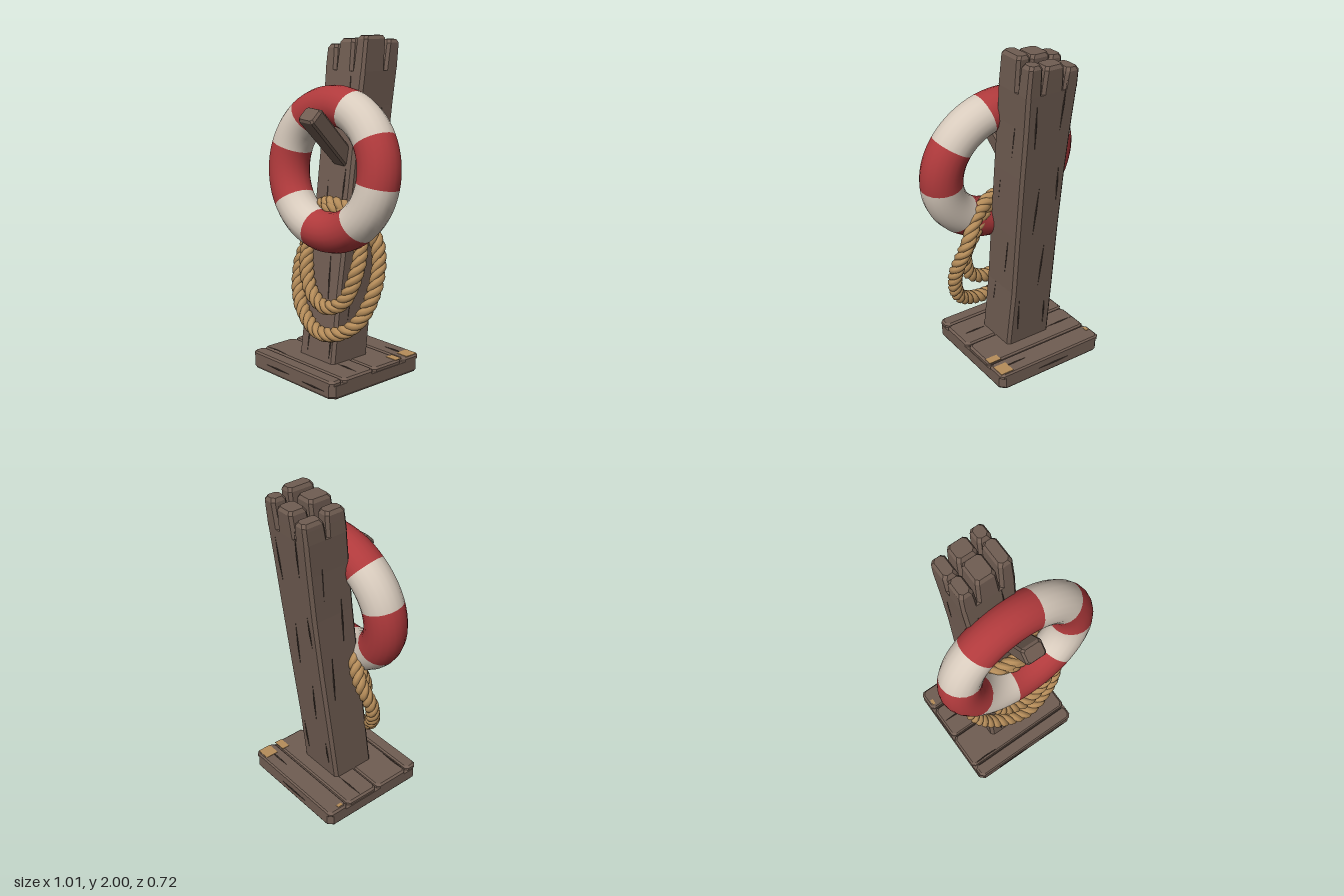
import * as THREE from 'three';

const paint = (name, color, extra = {}) => {
  const m = new THREE.MeshStandardMaterial({ color, ...extra });
  m.name = name;
  return m;
};

// Chamfered column lofted through sections [y, x0, x1, z0, z1, chamfer]
function loft(sections) {
  const rings = sections.map(([y, x0, x1, z0, z1, c]) => [
    [x0 + c, y, z1], [x1 - c, y, z1], [x1, y, z1 - c], [x1, y, z0 + c],
    [x1 - c, y, z0], [x0 + c, y, z0], [x0, y, z0 + c], [x0, y, z1 - c],
  ]);
  const out = [];
  const tri = (...p) => p.forEach((q) => out.push(...q));
  for (let r = 0; r < rings.length - 1; r++) {
    const a = rings[r], b = rings[r + 1];
    for (let i = 0; i < 8; i++) {
      const j = (i + 1) % 8;
      tri(a[i], a[j], b[j]);
      tri(a[i], b[j], b[i]);
    }
  }
  const low = rings[0], top = rings[rings.length - 1];
  for (let i = 1; i < 7; i++) {
    tri(top[0], top[i], top[i + 1]);
    tri(low[0], low[i + 1], low[i]);
  }
  const g = new THREE.BufferGeometry();
  g.setAttribute('position', new THREE.Float32BufferAttribute(out, 3));
  g.computeVertexNormals();
  return g;
}

// One strand of a laid rope, twisting around a closed path
function strand(path, phase, turns) {
  const n = 180, frames = path.computeFrenetFrames(n, true), pts = [];
  for (let i = 0; i < n; i++) {
    const a = phase + (i / n) * turns * Math.PI * 2;
    pts.push(path.getPointAt(i / n)
      .addScaledVector(frames.normals[i], Math.cos(a) * 0.021)
      .addScaledVector(frames.binormals[i], Math.sin(a) * 0.021));
  }
  return new THREE.TubeGeometry(new THREE.CatmullRomCurve3(pts, true), 240, 0.024, 7, true);
}

export function createModel() {
  const model = new THREE.Group();
  const wood = paint('wood', 0x705d52, { flatShading: true });
  const crackWood = paint('dark crack', 0x3c312b, { flatShading: true });
  const red = paint('red', 0xb03a3c);
  const cream = paint('cream', 0xd8cbbd);
  const ropeTan = paint('rope tan', 0xb68d5a);

  const add = (name, geo, mat, parent = model) => {
    const m = new THREE.Mesh(geo, mat);
    m.name = name;
    parent.add(m);
    return m;
  };

  // Base: slab with worn planks on top
  add('baseSlab', loft([
    [0, -0.44, 0.275, -0.345, 0.345, 0.03],
    [0.015, -0.45, 0.282, -0.353, 0.353, 0.03],
    [0.08, -0.45, 0.282, -0.353, 0.353, 0.03],
  ]), wood);
  [[-0.353, -0.215], [-0.205, 0.02], [0.028, 0.262], [0.27, 0.353]].forEach(([z0, z1], i) => {
    const x0 = -0.45 + (i % 2) * 0.006, x1 = 0.284 - (i % 2) * 0.006;
    add('basePlank', loft([
      [0.08, x0, x1, z0, z1, 0.018],
      [0.095, x0, x1, z0, z1, 0.018],
      [0.106, x0 + 0.012, x1 - 0.012, z0 + 0.008, z1 - 0.008, 0.018],
    ]), wood);
  });

  // Tan worn patches on the base
  [[0.232, -0.295, 0.085, 0.085], [0.232, -0.185, 0.08, 0.05], [-0.42, -0.257, 0.02, 0.035]]
    .forEach(([x, z, w, d]) => {
      add('wornPatch', new THREE.BoxGeometry(w, 0.004, d), ropeTan).position.set(x, 0.107, z);
    });

  // Leaning post
  const front = (y) => 0.165 - 0.125 * (y - 0.1);
  const back = (y) => -0.12 - 0.125 * (y - 0.1);
  const postAt = ([y, x0, x1]) => [y, x0, x1, back(y), front(y), 0.018];
  add('post', loft([
    [0.09, -0.23, 0.076], [0.5, -0.224, 0.072], [0.9, -0.216, 0.082],
    [1.3, -0.215, 0.09], [1.6, -0.222, 0.094], [1.8, -0.23, 0.1],
  ].map(postAt)), wood);

  // Split top: two rows of three stubs
  [[-0.23, -0.135, 1.945], [-0.135, 0.005, 1.98], [0.005, 0.1, 2.0]].forEach(([x0, x1, h], col) => {
    [0, 1].forEach((row) => {
      const top = h - row * 0.025;
      const at = (y, inset, split) => {
        const mid = -0.225 - 0.125 * (y - 1.95) - (col - 1) * 0.02;
        const l = x0 + (col ? split : inset), r = x1 - (col < 2 ? split : inset);
        return row
          ? [y, l, r, back(y) + inset, mid - split, 0.016]
          : [y, l, r, mid + split, front(y) - inset, 0.016];
      };
      add('postStub', loft([
        at(1.8, 0, 0.001), at(1.88, 0.001, 0.005), at(top - 0.02, 0.002, 0.009), at(top, 0.014, 0.02),
      ]), wood);
    });
  });

  // Cracks: slim dark slivers along the grain
  const sliver = (x, y, z, half, lean, tilt = 0) => {
    const m = add('woodCrack', new THREE.OctahedronGeometry(1), crackWood);
    m.scale.set(0.005, half, 0.005);
    m.position.set(x, y, z);
    m.rotation.set(lean, 0, tilt);
  };
  [[-0.15, 0.25, 0.13], [-0.02, 0.6, 0.16], [0.04, 0.22, 0.1], [-0.1, 1.0, 0.17],
    [-0.16, 1.55, 0.15], [0.01, 1.65, 0.16], [0.03, 1.15, 0.12]].forEach(([x, y, h], i) => {
    const tilt = (i % 2 ? 1 : -1) * 0.04;
    sliver(x, y, front(y), h, -0.1244, tilt);
    sliver(-0.13 - x, y + 0.06, back(y + 0.06), h, -0.1244, tilt);
  });
  [[0.05, 0.4, 0.18], [-0.05, 0.8, 0.2], [0.06, 1.2, 0.17], [-0.04, 1.55, 0.18]].forEach(([dz, y, h]) => {
    const z = (front(y) + back(y)) / 2 + dz;
    sliver(0.07 + 0.018 * (y - 0.4), y, z, h, -0.17);
    sliver(-0.219, y + 0.05, z - 0.02, h, -0.08);
  });
  [[-0.34, 0.106, 0.25, 0.09], [0.16, 0.106, 0.13, 0.08], [-0.33, 0.106, -0.1, 0.1],
    [0.15, 0.106, -0.28, 0.1], [-0.2, 0.05, 0.354, 0.12], [0.12, 0.04, 0.354, 0.1],
    [-0.1, 0.05, -0.354, 0.13]].forEach(([x, y, z, h]) => sliver(x, y, z, h, 0, Math.PI / 2));

  // Slanted peg
  const peg = new THREE.Group();
  peg.name = 'peg';
  peg.position.set(-0.005, 1.577, 0.262);
  peg.rotation.set(Math.PI / 4, 0, -0.06, 'ZXY');
  model.add(peg);
  add('pegBody', loft([
    [-0.46, -0.055, 0.055, -0.05, 0.05, 0.012],
    [-0.015, -0.065, 0.065, -0.052, 0.052, 0.012],
    [0, -0.054, 0.054, -0.042, 0.042, 0.012],
  ]), wood, peg);

  // Life ring: alternating red and cream arcs (degrees)
  const ring = new THREE.Group();
  ring.name = 'lifeRing';
  ring.position.set(0, 1.25, 0.0975);
  ring.rotation.x = -0.118;
  ring.scale.set(1, 0.95, 0.97);
  model.add(ring);
  const stops = [-7, 32, 72, 129, 164, 217, 257, 310, 353];
  for (let i = 0; i < 8; i++) {
    const arc = THREE.MathUtils.degToRad(stops[i + 1] - stops[i]);
    const isRed = i % 2 === 0;
    const part = add(isRed ? 'redBand' : 'creamBand',
      new THREE.TorusGeometry(0.38, 0.125, 20, 10, arc), isRed ? red : cream, ring);
    part.rotation.z = THREE.MathUtils.degToRad(stops[i]);
  }

  // Two hanging loops of three-strand rope
  const loops = {
    outerRope: [[0, 1.05, 0.09], [0.18, 0.99, 0.04], [0.275, 0.84, 0], [0.325, 0.6, 0.07], [0.24, 0.38, 0.15],
      [0.02, 0.295, 0.2], [-0.22, 0.4, 0.15], [-0.325, 0.62, 0.07], [-0.28, 0.84, 0], [-0.18, 0.99, 0.04]],
    innerRope: [[0, 1.03, 0.1], [0.13, 0.97, 0.06], [0.2, 0.85, 0.06], [0.225, 0.68, 0.12], [0.16, 0.51, 0.16],
      [0.02, 0.452, 0.175], [-0.12, 0.52, 0.16], [-0.205, 0.68, 0.12], [-0.22, 0.85, 0.06], [-0.14, 0.97, 0.06]],
  };
  for (const [name, pts] of Object.entries(loops)) {
    const rope = new THREE.Group();
    rope.name = name;
    model.add(rope);
    const path = new THREE.CatmullRomCurve3(pts.map((p) => new THREE.Vector3(...p)), true);
    const turns = Math.round(path.getLength() / 0.17);
    for (let k = 0; k < 3; k++) {
      add('ropeStrand', strand(path, (k * Math.PI * 2) / 3, turns), ropeTan, rope);
    }
  }
  return model;
}
